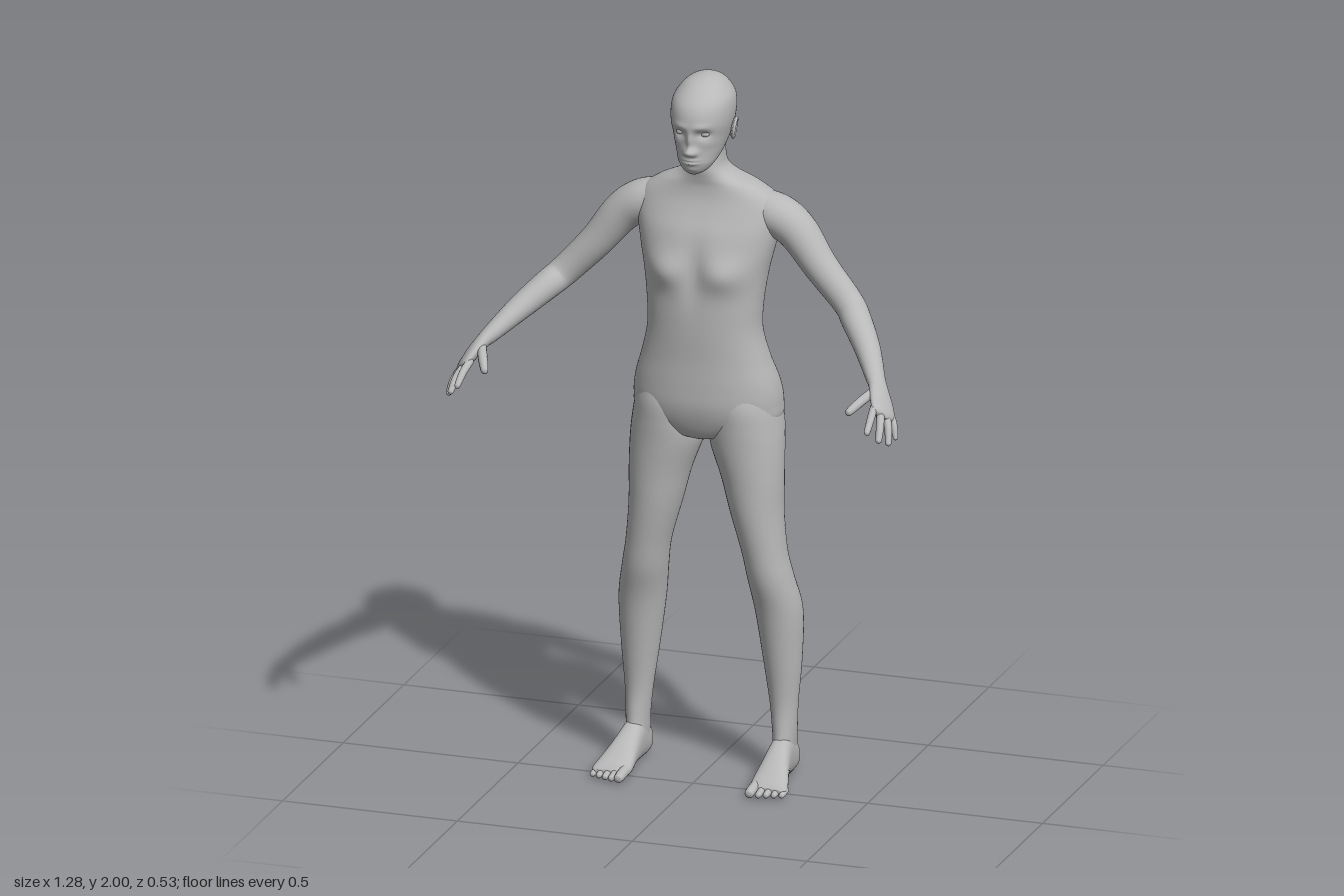
import * as THREE from 'three';

const skin = new THREE.MeshStandardMaterial({ color: 0xb8b8b8 });
skin.name = 'plain grey';

const UP = new THREE.Vector3(0, 1, 0);
const FORWARD = new THREE.Vector3(0, 0, 1);

// Catmull-Rom blend of key rows at parameter t (in key units)
function sample(keys, t) {
  const i = Math.min(Math.floor(t), keys.length - 2), f = t - i;
  const k = (j) => keys[Math.max(0, Math.min(keys.length - 1, j))];
  const [p, q, r, s] = [k(i - 1), k(i), k(i + 1), k(i + 2)];
  return q.map((_, c) => 0.5 * (2 * q[c] + (r[c] - p[c]) * f
    + (2 * p[c] - 5 * q[c] + 4 * r[c] - s[c]) * f * f
    + (3 * q[c] - p[c] - 3 * r[c] + s[c]) * f * f * f));
}

// Smooth skin over elliptical sections. Key row: x, y, z, half width, half depth
function loft(name, keys, { axis = null, side = new THREE.Vector3(1, 0, 0), n = 32, steps = 6, power = 1, warp = null } = {}) {
  const rows = (keys.length - 1) * steps, pos = [], index = [];
  const bend = (c) => Math.sign(c) * Math.abs(c) ** power;
  const put = (v) => { if (warp) warp(v); pos.push(v.x, v.y, v.z); };
  const centre = (t) => new THREE.Vector3(...sample(keys, t));
  for (let i = 0; i <= rows; i++) {
    const t = i / steps, [x, y, z, a, b] = sample(keys, t);
    const T = axis || centre(Math.min(t + 0.05, keys.length - 1)).sub(centre(Math.max(t - 0.05, 0))).normalize();
    const S = side.clone().addScaledVector(T, -side.dot(T)).normalize();
    const N = T.clone().cross(S);
    for (let j = 0; j < n; j++) {
      const w = (j / n) * Math.PI * 2;
      put(new THREE.Vector3(x, y, z)
        .addScaledVector(S, Math.max(a, 0.0005) * bend(Math.cos(w)))
        .addScaledVector(N, Math.max(b, 0.0005) * bend(Math.sin(w))));
    }
  }
  for (let i = 0; i < rows; i++) for (let j = 0; j < n; j++) {
    const a = i * n + j, b = i * n + (j + 1) % n;
    index.push(a, b, b + n, a, b + n, a + n);
  }
  // End caps
  const first = pos.length / 3;
  put(centre(0));
  put(centre(keys.length - 1));
  for (let j = 0; j < n; j++) {
    const k = (j + 1) % n;
    index.push(first, k, j, first + 1, rows * n + j, rows * n + k);
  }
  const geo = new THREE.BufferGeometry();
  geo.setAttribute('position', new THREE.Float32BufferAttribute(pos, 3));
  geo.setIndex(index);
  geo.computeVertexNormals();
  return named(name, geo);
}

function named(name, geo) {
  const m = new THREE.Mesh(geo, skin);
  m.name = name;
  return m;
}

const bump = (x, y, x0, y0, sx, sy) => Math.exp(-(((x - x0) / sx) ** 2) - ((y - y0) / sy) ** 2);
// Row given as height, half width, front z, back z
const level = ([y, w, f, b]) => [0, y, (f + b) / 2, w, (f - b) / 2];

function torso() {
  const keys = [
    [0.965, 0.03, -0.06, -0.16], [0.98, 0.11, -0.035, -0.215], [1.02, 0.198, -0.015, -0.255],
    [1.07, 0.208, -0.002, -0.265], [1.13, 0.2, 0, -0.25], [1.2, 0.178, 0, -0.225],
    [1.28, 0.16, 0.003, -0.21], [1.36, 0.162, 0.004, -0.215], [1.44, 0.172, 0.002, -0.235],
    [1.5, 0.185, -0.005, -0.245], [1.56, 0.198, -0.022, -0.25], [1.61, 0.205, -0.045, -0.245],
    [1.65, 0.19, -0.06, -0.235], [1.685, 0.14, -0.065, -0.22], [1.71, 0.085, -0.062, -0.205],
    [1.735, 0.056, -0.058, -0.19], [1.77, 0.048, -0.06, -0.182], [1.82, 0.05, -0.06, -0.18],
  ].map(level);
  // Chest, spine groove and seat shaping
  const warp = (v) => {
    const { x, y } = v, ax = Math.abs(x);
    if (v.z > -0.1) {
      v.z += 0.02 * bump(ax, y, 0.085, 1.455, 0.055, 0.045) - 0.012 * bump(x, y, 0, 1.46, 0.03, 0.08);
    } else {
      v.z += 0.045 * bump(x, y, 0, 1.05, 0.022, 0.075) + 0.014 * bump(x, y, 0, 1.42, 0.025, 0.2)
        - 0.012 * bump(ax, y, 0.09, 1.06, 0.06, 0.06);
    }
  };
  return loft('torso', keys, { axis: UP, n: 80, power: 0.9, warp });
}

function head() {
  const keys = [
    [1.745, 0.015, 0.004, -0.03], [1.755, 0.034, 0.012, -0.06], [1.775, 0.05, 0.02, -0.1],
    [1.8, 0.061, 0.022, -0.15], [1.84, 0.073, 0.022, -0.19], [1.88, 0.082, 0.03, -0.205],
    [1.92, 0.084, 0.024, -0.21], [1.95, 0.077, 0.005, -0.2], [1.98, 0.054, -0.035, -0.175],
    [1.995, 0.028, -0.075, -0.145], [2, 0.002, -0.107, -0.113],
  ].map(level);
  // Features: x, y, width, height, push (paired features have x > 0)
  const face = [
    [0, 1.815, 0.013, 0.012, 0.022], [0, 1.845, 0.009, 0.022, 0.012], [0.013, 1.811, 0.008, 0.008, 0.009],
    [0.033, 1.863, 0.018, 0.012, -0.014], [0.03, 1.886, 0.024, 0.009, 0.004], [0.05, 1.835, 0.018, 0.014, 0.004],
    [0, 1.785, 0.022, 0.009, 0.01], [0, 1.786, 0.022, 0.003, -0.006], [0, 1.762, 0.02, 0.01, 0.004],
  ];
  const warp = (v) => {
    if (v.z < -0.06) return;
    const { x, y } = v;
    for (const [x0, y0, sx, sy, d] of face) v.z += d * bump(Math.abs(x), y, x0, y0, sx, sy);
  };
  return loft('head', keys, { axis: UP, n: 112, steps: 10, power: 0.95, warp });
}

// Tapering digit with a rounded tip
function digit(name, a, m, b, r, side) {
  const end = (f) => a.map((_, c) => m[c] + (b[c] - m[c]) * f);
  return loft(name, [[...a, r, r], [...m, r, r], [...end(0.8), r * 0.85, r * 0.8],
    [...end(0.95), r * 0.55, r * 0.5], [...b, 0.001, 0.001]], { side, n: 14, steps: 4 });
}

function arm(s, label) {
  const g = new THREE.Group();
  g.name = label + 'Arm';
  const side = new THREE.Vector3(-0.05 * s, 0.04, 0.105).normalize();
  const flip = ([x, ...rest]) => [x * s, ...rest];
  const keys = [
    [0.12, 1.615, -0.15, 0.056, 0.056], [0.19, 1.6, -0.148, 0.064, 0.06], [0.25, 1.562, -0.143, 0.058, 0.055],
    [0.32, 1.475, -0.13, 0.048, 0.047], [0.405, 1.385, -0.113, 0.042, 0.042], [0.445, 1.35, -0.07, 0.043, 0.04],
    [0.5, 1.3, 0, 0.037, 0.034], [0.55, 1.25, 0.08, 0.029, 0.024], [0.565, 1.235, 0.102, 0.03, 0.02],
    [0.582, 1.211, 0.13, 0.038, 0.018], [0.597, 1.187, 0.153, 0.041, 0.015],
    [0.603, 1.175, 0.166, 0.036, 0.012], [0.606, 1.17, 0.173, 0.018, 0.006],
  ].map(flip);
  g.add(loft(label + 'ArmAndPalm', keys, { side, n: 36 }));
  // Knuckle, middle joint, tip, radius
  const digits = [
    ['indexFinger', [0.577, 1.2, 0.17], [0.583, 1.18, 0.215], [0.586, 1.15, 0.26], 0.0105],
    ['middleFinger', [0.59, 1.19, 0.155], [0.605, 1.162, 0.2], [0.613, 1.122, 0.238], 0.011],
    ['ringFinger', [0.6, 1.18, 0.14], [0.62, 1.148, 0.177], [0.63, 1.105, 0.204], 0.0105],
    ['littleFinger', [0.608, 1.172, 0.125], [0.626, 1.148, 0.147], [0.636, 1.108, 0.16], 0.009],
    ['thumb', [0.562, 1.228, 0.12], [0.54, 1.212, 0.175], [0.517, 1.19, 0.224], 0.013],
  ];
  for (const [name, a, m, b, r] of digits) g.add(digit(name, flip(a), flip(m), flip(b), r, side));
  return g;
}

function leg(s, label) {
  const g = new THREE.Group();
  g.name = label + 'Leg';
  // Height, inner x, outer x, front z, back z
  const keys = [
    [0.04, 0.182, 0.238, -0.11, -0.21], [0.08, 0.18, 0.239, -0.1, -0.212], [0.13, 0.177, 0.242, -0.107, -0.204],
    [0.21, 0.168, 0.246, -0.112, -0.2], [0.33, 0.15, 0.256, -0.1, -0.213], [0.47, 0.13, 0.26, -0.08, -0.22],
    [0.57, 0.116, 0.242, -0.055, -0.2], [0.65, 0.103, 0.227, -0.044, -0.187], [0.76, 0.072, 0.218, -0.032, -0.196],
    [0.86, 0.045, 0.218, -0.026, -0.206], [0.95, 0.013, 0.216, -0.02, -0.225], [1.01, 0.006, 0.211, -0.016, -0.248],
    [1.07, 0.012, 0.2, -0.015, -0.25], [1.13, 0.03, 0.18, -0.03, -0.22],
  ].map(([y, i, o, f, b]) => [s * (i + o) / 2, y, (f + b) / 2, (o - i) / 2, (f - b) / 2]);
  g.add(loft(label + 'ThighAndShin', keys, { axis: UP, n: 40 }));
  // Foot from heel to ball: z, inner x, outer x, bottom, top
  const foot = [
    [-0.222, 0.2, 0.22, 0.02, 0.04], [-0.212, 0.187, 0.233, 0.005, 0.07], [-0.185, 0.181, 0.239, 0, 0.1],
    [-0.14, 0.18, 0.242, 0, 0.12], [-0.1, 0.178, 0.247, 0.002, 0.11], [-0.05, 0.175, 0.258, 0.003, 0.082],
    [0, 0.171, 0.273, 0, 0.052], [0.028, 0.173, 0.278, 0.002, 0.036], [0.042, 0.182, 0.268, 0.009, 0.024],
  ].map(([z, i, o, b, t]) => [s * (i + o) / 2, (b + t) / 2, z, (o - i) / 2, (t - b) / 2]);
  g.add(loft(label + 'Foot', foot, { axis: FORWARD, n: 36, power: 0.85 }));
  for (let i = 0; i < 5; i++) {
    const r = i ? 0.0105 - i * 0.0003 : 0.0145, x = s * (i ? 0.19 + 0.02 * i : 0.187), tip = 0.082 - 0.007 * i;
    g.add(digit('toe', [x, r + 0.008, 0.01], [x, r + 0.004, tip - 0.03], [x, r, tip], r, new THREE.Vector3(1, 0, 0)));
  }
  return g;
}

export function createModel() {
  const model = new THREE.Group();
  model.name = 'standingFigure';
  model.add(torso(), head());
  for (const [s, label] of [[1, 'left'], [-1, 'right']]) {
    model.add(arm(s, label), leg(s, label));
    const eye = named(label + 'Eye', new THREE.SphereGeometry(0.013, 20, 14));
    eye.scale.set(1.1, 0.7, 0.8);
    eye.position.set(0.033 * s, 1.863, -0.001);
    // Ear: flat shell with a raised rim
    const ear = new THREE.Group();
    ear.name = label + 'Ear';
    const shell = named('earShell', new THREE.SphereGeometry(0.02, 20, 14));
    shell.scale.set(0.3, 1.45, 0.95);
    const rim = named('earRim', new THREE.TorusGeometry(0.017, 0.0045, 10, 28));
    rim.rotation.y = Math.PI / 2;
    rim.scale.set(1, 1.5, 1);
    rim.position.x = 0.004 * s;
    ear.add(shell, rim);
    ear.position.set(0.08 * s, 1.853, -0.105);
    ear.rotation.set(-0.15, 0.2 * s, -0.12 * s);
    model.add(eye, ear);
  }
  return model;
}
